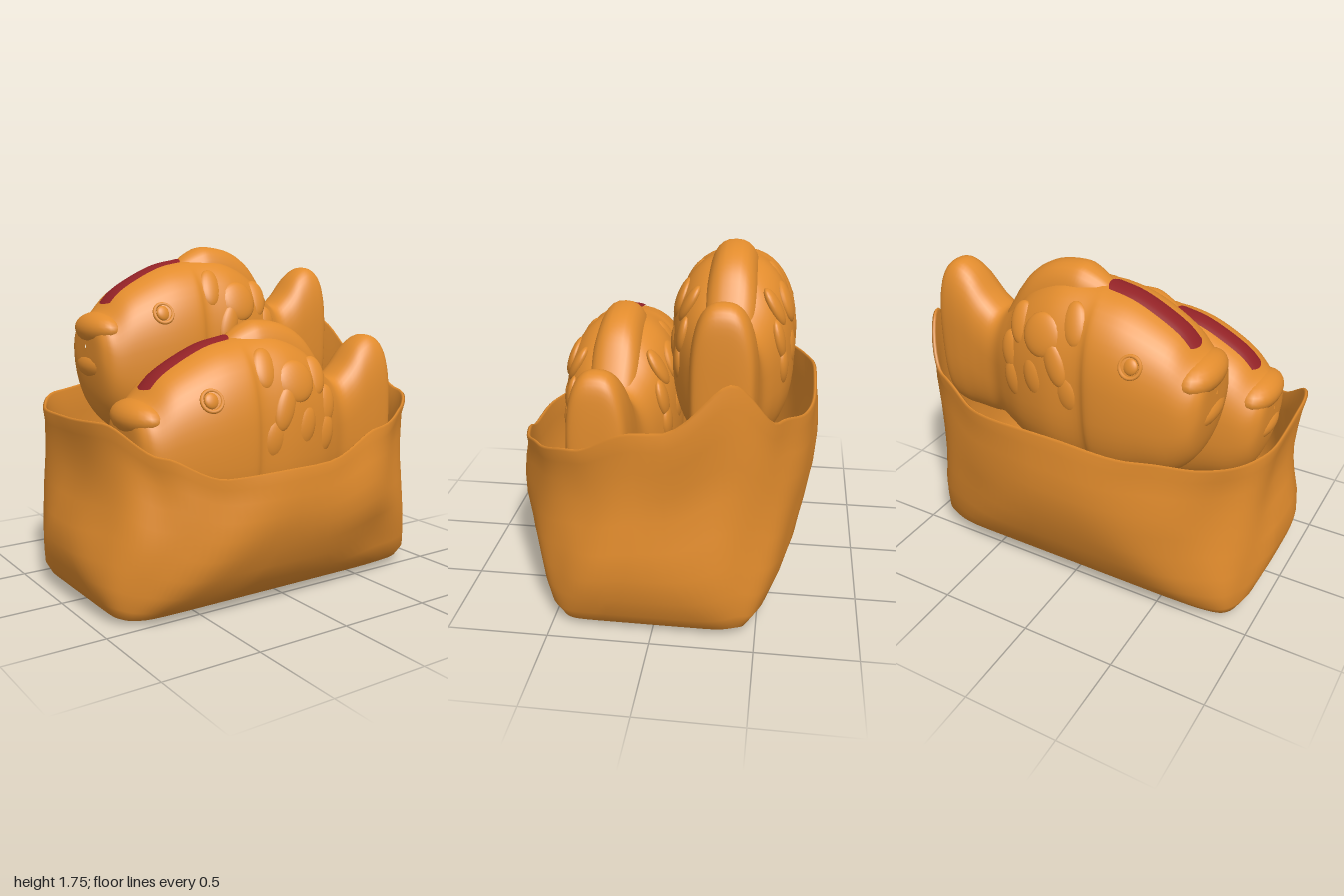
import * as THREE from 'three';

const pastry = new THREE.MeshStandardMaterial({ color: 0xe28c2d });
pastry.name = 'golden brown';
const filling = new THREE.MeshStandardMaterial({ color: 0x922226 });
filling.name = 'dark red';

// Smooth surface from fn(u index, v index); v runs around the section
function grid(fn, nu, nv, closed) {
  const pos = [], idx = [], cols = closed ? nv : nv + 1;
  for (let i = 0; i <= nu; i++) for (let j = 0; j < cols; j++) pos.push(...fn(i, j));
  for (let i = 0; i < nu; i++) for (let j = 0; j < nv; j++) {
    const k = closed ? (j + 1) % nv : j + 1;
    const a = i * cols + j, b = i * cols + k, c = a + cols, d = b + cols;
    idx.push(a, b, c, b, d, c);
  }
  const g = new THREE.BufferGeometry();
  g.setAttribute('position', new THREE.Float32BufferAttribute(pos, 3));
  g.setIndex(idx);
  g.computeVertexNormals();
  return g;
}

const pw = (v, e) => Math.sign(v) * Math.pow(Math.abs(v), e);

function mesh(parent, name, geometry, material = pastry) {
  const m = new THREE.Mesh(geometry, material);
  m.name = name;
  parent.add(m);
  return m;
}

// Loft along x through stations [x, top, bottom, half width, exponent]
function makeLoft(stations) {
  const curve = (f) => new THREE.CatmullRomCurve3(stations.map(f), false, 'catmullrom', 0.5);
  const line = curve((s) => new THREE.Vector3(s[0], s[1], s[2]));
  const size = curve((s) => new THREE.Vector3(s[3], s[4], 0));
  const section = (t) => {
    const p = line.getPoint(t), q = size.getPoint(t);
    return { x: p.x, yc: (p.y + p.z) / 2, h: (p.y - p.z) / 2, w: Math.max(q.x, 0.001), n: q.y };
  };
  const point = (t, ang) => {
    const s = section(t);
    return [s.x, s.yc + s.h * pw(Math.cos(ang), 2 / s.n), s.w * pw(Math.sin(ang), 2 / s.n)];
  };
  // Finds the section at a given x
  const at = (x) => {
    let lo = 0, hi = 1;
    for (let i = 0; i < 30; i++) {
      const m = (lo + hi) / 2;
      if (section(m).x < x) lo = m; else hi = m;
    }
    return section(lo);
  };
  const arc = (d, n) => Math.pow(Math.max(0, 1 - Math.pow(Math.abs(d), n)), 1 / n);
  const top = (x, z) => {
    const s = at(x);
    return s.yc + s.h * arc(z / s.w, s.n);
  };
  const side = (x, y) => {
    const s = at(x);
    return s.w * arc((y - s.yc) / s.h, s.n);
  };
  const geometry = (nu, nv) => grid((i, j) => point(i / nu, (j / nv) * Math.PI * 2), nu, nv, true);
  return { geometry, top, side };
}

const bodyLoft = makeLoft([
  [-0.785, 0.88, 0.86, 0.005, 2.2],
  [-0.78, 0.98, 0.74, 0.14, 2.2],
  [-0.75, 1.03, 0.6, 0.2, 2.3],
  [-0.70, 1.06, 0.5, 0.235, 2.3],
  [-0.61, 1.15, 0.42, 0.265, 2.4],
  [-0.48, 1.225, 0.38, 0.295, 2.4],
  [-0.35, 1.28, 0.34, 0.315, 2.4],
  [-0.23, 1.305, 0.32, 0.32, 2.4],
  [-0.16, 1.315, 0.31, 0.30, 2.4],
  [0.02, 1.32, 0.32, 0.315, 2.4],
  [0.20, 1.25, 0.36, 0.285, 2.4],
  [0.33, 1.13, 0.42, 0.23, 2.5],
  [0.43, 1.065, 0.46, 0.18, 2.6],
  [0.52, 1.12, 0.45, 0.165, 2.6],
  [0.62, 1.235, 0.45, 0.16, 2.6],
  [0.71, 1.28, 0.45, 0.155, 2.6],
  [0.79, 1.235, 0.48, 0.14, 2.7],
  [0.815, 1.08, 0.55, 0.10, 2.7],
  [0.82, 0.80, 0.78, 0.005, 2.7],
]);
const dorsalLoft = makeLoft([
  [-0.28, 1.22, 1.18, 0.02, 2.5],
  [-0.20, 1.315, 1.0, 0.08, 2.5],
  [-0.10, 1.375, 0.95, 0.12, 2.5],
  [-0.02, 1.392, 0.95, 0.13, 2.5],
  [0.12, 1.37, 0.92, 0.13, 2.5],
  [0.24, 1.30, 0.88, 0.13, 2.5],
  [0.34, 1.17, 0.85, 0.12, 2.5],
  [0.42, 1.04, 0.85, 0.09, 2.5],
  [0.46, 0.95, 0.92, 0.01, 2.5],
]);

function makeFish(name) {
  const fish = new THREE.Group();
  fish.name = name;
  mesh(fish, 'bodyAndTail', bodyLoft.geometry(90, 48));
  mesh(fish, 'dorsalFin', dorsalLoft.geometry(36, 28));

  // Flattened lump on the surface
  const lump = (part, [x, y, z], [rx, ry, rz], roll = 0, tilt = 0) => {
    const m = mesh(fish, part, new THREE.SphereGeometry(1, 24, 14));
    m.position.set(x, y, z);
    m.scale.set(rx, ry, rz);
    m.rotation.set(tilt, 0, roll);
  };
  lump('upperLip', [-0.70, 0.96, 0], [0.11, 0.09, 0.2]);
  lump('lowerLip', [-0.69, 0.77, 0], [0.11, 0.09, 0.2]);

  for (const s of [-1, 1]) {
    // Lump sunk into the flank and tilted to follow it
    const flank = (part, x, y, rx, ry, rz, sink, roll) => {
      const slope = bodyLoft.side(x, y - 0.03) - bodyLoft.side(x, y + 0.03);
      const tilt = -s * Math.atan2(slope, 0.06);
      lump(part, [x, y, s * (bodyLoft.side(x, y) - sink)], [rx, ry, rz], roll, tilt);
    };
    // Eye: a ring with a low dome inside
    const ring = mesh(fish, 'eyeRing', new THREE.TorusGeometry(0.052, 0.01, 8, 24));
    ring.position.set(-0.45, 1.05, s * (bodyLoft.side(-0.45, 1.05) - 0.002));
    ring.rotation.set(-s * 0.45, -s * 0.15, 0);
    flank('eye', -0.45, 1.05, 0.04, 0.04, 0.018, 0.006, 0);
    // Side fin and soft scales
    flank('sideFin', 0.04, 1.10, 0.11, 0.11, 0.035, 0.02, 0.4);
    flank('sideFin', -0.04, 0.98, 0.06, 0.12, 0.03, 0.017, -0.35);
    const scales = [[-0.12, 1.17], [0.19, 1.11], [0.24, 0.96], [0.08, 0.88], [-0.10, 0.84], [0.22, 0.82]];
    for (const [x, y] of scales) flank('scale', x, y, 0.07, 0.11, 0.035, 0.026, -0.2);
  }

  // Filling bulging slightly from the slit on the back
  mesh(fish, 'filling', grid((i, j) => {
    const v = j / 4 - 1, inset = 0.02 * v * v;
    const x = -0.685 + inset + (i / 24) * (0.485 - 2 * inset);
    return [x, bodyLoft.top(x, v * 0.06) + 0.005 + 0.009 * (1 - v * v), v * 0.06];
  }, 24, 8, false), filling);
  return fish;
}

// Rim height every 22.5 degrees, from the left side round past the back
const rim = [1.09, 1.32, 1.08, 1.02, 1.03, 1.0, 0.98, 0.95, 0.95, 0.97, 0.82, 0.71, 0.73, 0.85, 0.91, 0.97];
function rimHeight(ang) {
  const p = (ang / (Math.PI * 2)) * rim.length, i = Math.floor(p), f = p - i;
  const k = f * f * (3 - 2 * f);
  return rim[i % 16] * (1 - k) + rim[(i + 1) % 16] * k;
}

// Bag levels [fraction of rim height, half x, half z, exponent], outside then inside
const levels = [
  [0, 0.001, 0.001, 4], [0.005, 0.5, 0.26, 8], [0.018, 0.87, 0.45, 10], [0.035, 0.9, 0.482, 10],
  [0.1, 0.94, 0.55, 6.5], [0.2, 0.97, 0.62, 4.2], [0.32, 0.988, 0.68, 3.3], [0.45, 0.985, 0.725, 2.8],
  [0.58, 0.975, 0.755, 2.6], [0.7, 0.965, 0.765, 2.5], [0.82, 0.96, 0.76, 2.5], [0.92, 0.965, 0.75, 2.5],
  [0.99, 0.975, 0.75, 2.6], [1, 0.965, 0.74, 2.6], [0.99, 0.955, 0.73, 2.6], [0.85, 0.935, 0.735, 2.5],
  [0.6, 0.95, 0.73, 2.6], [0.3, 0.955, 0.645, 3.2], [0.06, 0.87, 0.46, 6], [0.05, 0.001, 0.001, 4],
];
// Dents and bulges in the paper [angle, height fraction, angle spread, height spread, depth]
const dents = [
  [293, 0.3, 16, 0.1, 0.05], [222, 0.75, 9, 0.2, 0.04], [14, 0.85, 16, 0.14, -0.045], [350, 0.3, 16, 0.16, -0.02],
  [340, 0.7, 16, 0.2, 0.035], [180, 0.65, 20, 0.2, 0.03], [60, 0.5, 12, 0.2, 0.03], [120, 0.45, 14, 0.2, 0.03],
];

function makeBag() {
  const nv = 128;
  return grid((i, j) => {
    const [f, a, b, n] = levels[i], ang = (j / nv) * Math.PI * 2;
    // Soft crumples that fade out at the base
    let c = 1 + Math.min(1, f * 3) * (0.01 * Math.sin(6 * ang + 5 * f) + 0.008 * Math.sin(11 * ang - 7 * f + 1));
    for (const [d, h, sd, sh, depth] of dents) {
      const da = ((j / nv) * 360 - d + 540) % 360 - 180;
      c -= depth * Math.exp(-((da / sd) ** 2) - ((f - h) / sh) ** 2);
    }
    return [
      a * c * pw(Math.cos(ang), 2 / n),
      f * rimHeight(ang),
      -b * c * pw(Math.sin(ang), 2 / n),
    ];
  }, levels.length - 1, nv, true);
}

export function createModel() {
  const model = new THREE.Group();
  model.name = 'fishPastriesInBag';
  mesh(model, 'paperBag', makeBag());
  const front = makeFish('frontPastry');
  front.position.set(0, 0, 0.275);
  // The back pastry sits higher with its tail dipped a little
  const back = makeFish('backPastry');
  back.scale.x = 0.95;
  back.rotation.z = -0.014;
  back.position.set(0.045, 0.362, -0.31);
  model.add(front, back);
  return model;
}
